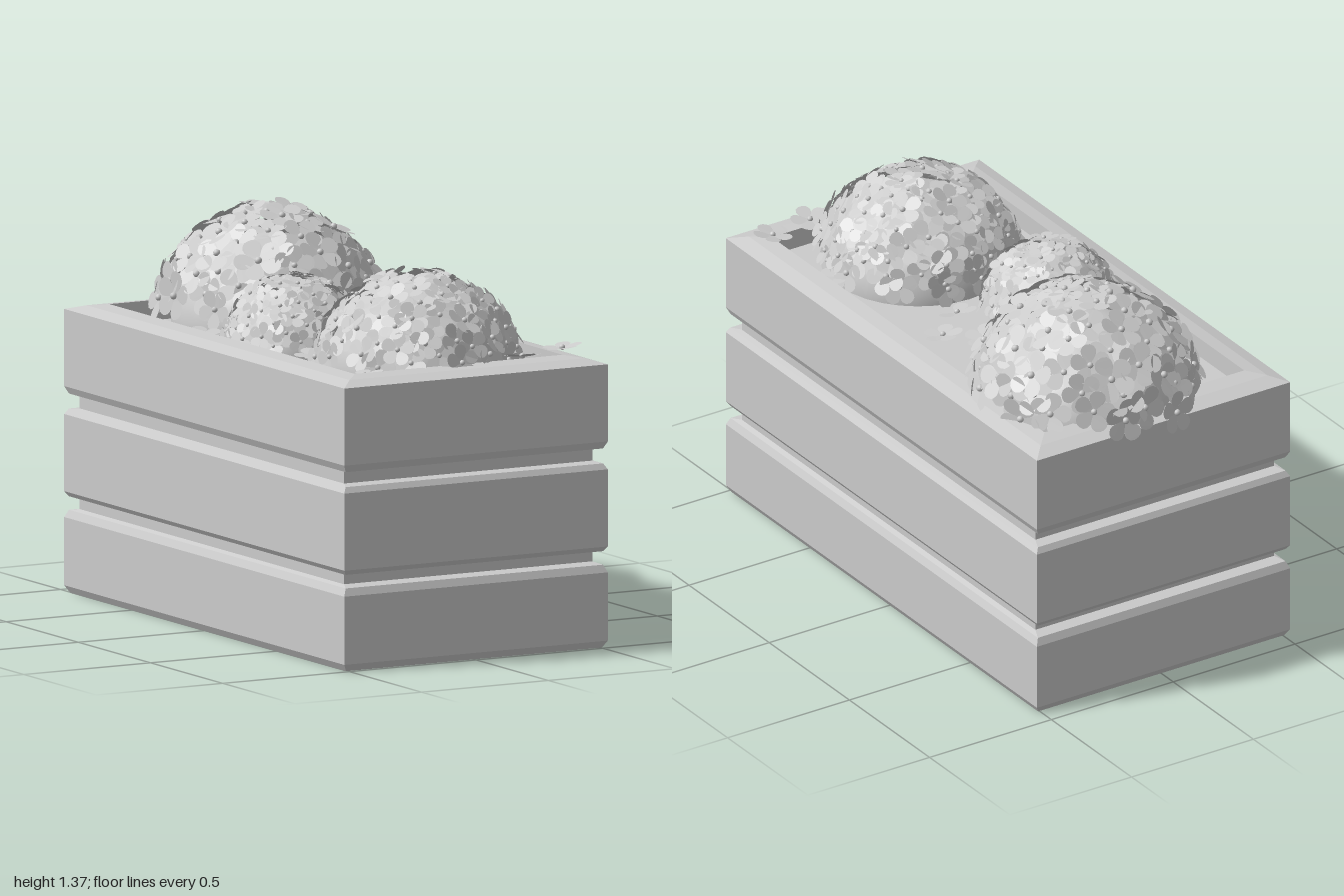
import * as THREE from 'three';
import { mergeGeometries } from 'three/addons/utils/BufferGeometryUtils.js';

const HX = 0.52, HZ = 0.97, CZ = 0.03, SOIL = 0.94;

// Small seeded generator, returns -1..1
let seed = 7;
function jitter() {
  seed = (seed * 16807) % 2147483647;
  return (seed / 2147483647) * 2 - 1;
}

// Rectangular rings joined along a profile of [insetX, insetZ, y]
function rectangularSweep(profile) {
  const corners = [[1, 1], [1, -1], [-1, -1], [-1, 1]];
  const point = ([ix, iz, y], c) => [corners[c % 4][0] * (HX - ix), y, CZ + corners[c % 4][1] * (HZ - iz)];
  const positions = [];
  for (let i = 0; i < profile.length - 1; i++) {
    for (let c = 0; c < 4; c++) {
      const a = point(profile[i], c), b = point(profile[i], c + 1);
      const d = point(profile[i + 1], c), e = point(profile[i + 1], c + 1);
      positions.push(...a, ...b, ...e, ...a, ...e, ...d);
    }
  }
  const geometry = new THREE.BufferGeometry();
  geometry.setAttribute('position', new THREE.Float32BufferAttribute(positions, 3));
  geometry.computeVertexNormals();
  return geometry;
}

// Five-petalled flower of radius 1, facing +z
function flowerGeometry() {
  const petal = new THREE.Shape();
  petal.moveTo(0.05, -0.07);
  petal.bezierCurveTo(0.35, -0.2, 0.45, -0.42, 0.72, -0.38);
  petal.bezierCurveTo(1.09, -0.32, 1.09, 0.32, 0.72, 0.38);
  petal.bezierCurveTo(0.45, 0.42, 0.35, 0.2, 0.05, 0.07);
  const parts = [];
  for (let i = 0; i < 5; i++) {
    const g = new THREE.ShapeGeometry(petal, 5);
    const p = g.attributes.position;
    for (let v = 0; v < p.count; v++) {
      p.setZ(v, 0.12 * p.getX(v) * p.getX(v) + 0.15 * p.getY(v) * p.getY(v));
    }
    g.computeVertexNormals();
    parts.push(g.rotateZ((i * Math.PI * 2) / 5));
  }
  parts.push(new THREE.SphereGeometry(0.15, 8, 6).translate(0, 0, 0.05));
  return mergeGeometries(parts);
}

export function createModel() {
  const model = new THREE.Group();
  const material = new THREE.MeshStandardMaterial({ color: 0xcccccc });
  const thin = new THREE.MeshStandardMaterial({ color: 0xcccccc, side: THREE.DoubleSide });
  const add = (name, geometry, mat = material) => {
    const mesh = new THREE.Mesh(geometry, mat);
    mesh.name = name;
    model.add(mesh);
    return mesh;
  };

  // Box: three bevelled planks, the top one with a sloping rim and inner wall
  add('lowerPlank', rectangularSweep([
    [HX, HZ, 0], [0.015, 0.015, 0], [0, 0, 0.025], [0, 0, 0.262],
    [0.012, 0.012, 0.288], [0.03, 0.055, 0.295],
  ]));
  add('middlePlank', rectangularSweep([
    [0.03, 0.055, 0.332], [0.012, 0.012, 0.335], [0, 0, 0.352], [0, 0, 0.62],
    [0.012, 0.012, 0.64], [0.03, 0.055, 0.645],
  ]));
  add('upperPlank', rectangularSweep([
    [0.03, 0.055, 0.688], [0.012, 0.012, 0.692], [0, 0, 0.717], [0, 0, 0.985],
    [0.055, 0.06, 1.002], [0.11, 0.12, 1.01], [0.11, 0.12, SOIL - 0.02],
  ]));
  // Recessed strips between the planks
  for (const [low, high] of [[0.28, 0.35], [0.63, 0.71]]) {
    add('recessedStrip', rectangularSweep([[0.03, 0.055, low], [0.03, 0.055, high]]));
  }
  // Soil
  add('soil', new THREE.PlaneGeometry(0.83, 1.72).rotateX(-Math.PI / 2).translate(0, SOIL, CZ));

  // Flowers
  const flower = flowerGeometry();
  const forward = new THREE.Vector3(0, 0, 1);
  function placedFlower(position, normal, size) {
    const turn = new THREE.Quaternion().setFromUnitVectors(forward, normal.clone().normalize());
    const spin = new THREE.Quaternion().setFromAxisAngle(forward, jitter() * Math.PI);
    const matrix = new THREE.Matrix4().compose(position, turn.multiply(spin), new THREE.Vector3(size, size, size));
    return flower.clone().applyMatrix4(matrix);
  }

  // Bushes: a smooth dome under a shell of flowers
  const bushes = [
    { name: 'back', x: 0.08, z: -0.57, dome: [0.34, 0.3, 0.34], shell: [0.385, 0.4, 0.4], size: 0.078, count: 85 },
    { name: 'middle', x: -0.15, z: 0.0, dome: [0.21, 0.22, 0.21], shell: [0.24, 0.26, 0.24], size: 0.048, count: 95 },
    { name: 'front', x: 0.02, z: 0.56, dome: [0.32, 0.28, 0.32], shell: [0.35, 0.335, 0.35], size: 0.063, count: 115 },
  ];
  for (const { name, x, z, dome, shell, size, count } of bushes) {
    const domeMesh = add(name + 'Dome', new THREE.SphereGeometry(1, 32, 12, 0, Math.PI * 2, 0, Math.PI / 2));
    domeMesh.scale.set(...dome);
    domeMesh.position.set(x, SOIL, z);

    const flowers = [];
    for (let i = 0; i < count; i++) {
      const up = THREE.MathUtils.clamp(1 - (0.82 * (i + 0.5)) / count + 0.02 * jitter(), 0.17, 1);
      const angle = i * 2.39996 + 0.1 * jitter();
      const r = Math.sqrt(1 - up * up);
      const dir = new THREE.Vector3(r * Math.cos(angle), up, r * Math.sin(angle));
      const normal = dir.clone().add(new THREE.Vector3(jitter(), jitter(), jitter()).multiplyScalar(0.2));
      const position = dir.multiply(new THREE.Vector3(...shell))
        .multiplyScalar(1 + 0.03 * jitter())
        .add(new THREE.Vector3(x, SOIL, z));
      flowers.push(placedFlower(position, normal, size * (1 + 0.12 * jitter())));
    }
    add(name + 'Flowers', mergeGeometries(flowers), thin);
  }

  // Loose flowers near the soil and rim: x, y, z
  const loose = [
    [0.28, 0.98, 0.01], [0.17, 0.98, -0.08], [0.24, 1.02, 0.9], [0.42, 1.03, 0.86], [-0.34, 0.99, 0.82],
    [-0.36, 0.98, -0.26], [0.36, 0.99, 0.55], [0.15, 0.98, 0.12], [-0.24, 0.98, 0.3],
  ];
  add('looseFlowers', mergeGeometries(loose.map(([x, y, z]) =>
    placedFlower(new THREE.Vector3(x, y, z), new THREE.Vector3(0.2 * jitter(), 1, 0.2 * jitter()), 0.07))), thin);

  return model;
}
